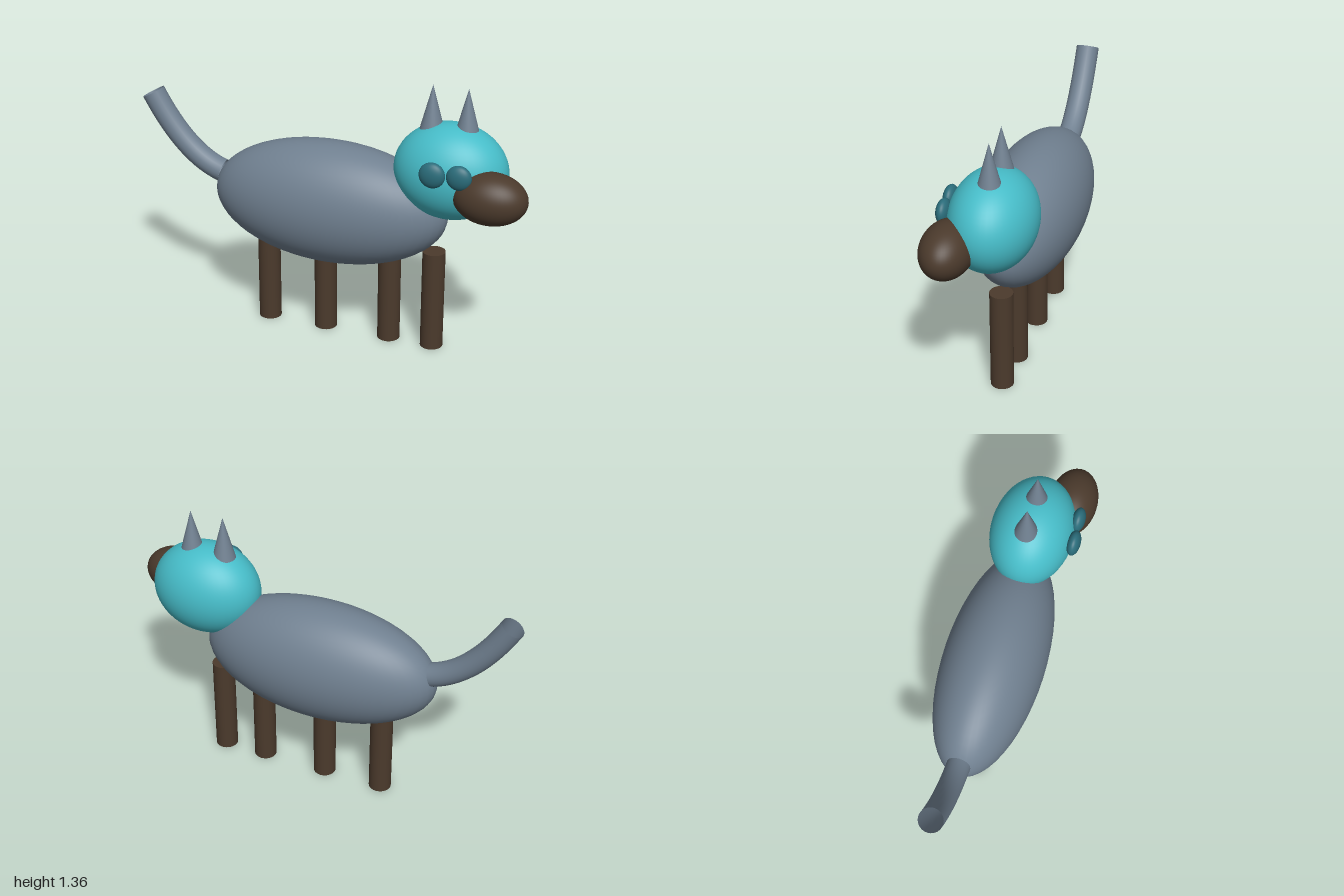
import * as THREE from 'three';

const material = (color, side = THREE.FrontSide) => {
  const m = new THREE.MeshStandardMaterial({ side });
  m.color.set(color);
  return m;
};

export function createModel() {
  const model = new THREE.Group();
  const Z = -0.006; // centre plane of body, legs and tail
  const fur = material(0x708090);
  const furOpen = material(0x708090, THREE.DoubleSide);
  const teal = material(0x46bcc8);
  const darkTeal = material(0x2a6c7a);
  const brown = material(0x4b3a2c);

  const add = (name, geometry, mat, x = 0, y = 0, z = 0) => {
    const mesh = new THREE.Mesh(geometry, mat);
    mesh.name = name;
    mesh.position.set(x, y, z);
    model.add(mesh);
    return mesh;
  };
  const ellipsoid = (name, mat, [x, y, z], [rx, ry, rz]) =>
    add(name, new THREE.SphereGeometry(1, 48, 32).scale(rx, ry, rz), mat, x, y, z);

  // Body, head and snout
  ellipsoid('body', fur, [-0.013, 0.693, Z], [0.597, 0.31, 0.25]);
  ellipsoid('head', teal, [0.595, 0.95, 0], [0.275, 0.235, 0.203]);
  ellipsoid('snout', brown, [0.823, 0.9, 0.137], [0.177, 0.125, 0.122]);

  // Flattened eyes on the front of the head
  ellipsoid('rightEye', darkTeal, [0.566, 1.006, 0.212], [0.062, 0.062, 0.033]);
  ellipsoid('leftEye', darkTeal, [0.69, 1.006, 0.2], [0.06, 0.06, 0.033]);

  // Pointed ears
  [['rightEar', 0.494], ['leftEar', 0.664]].forEach(([name, x]) =>
    add(name, new THREE.ConeGeometry(0.057, 0.215, 32), fur, x, 1.2525, Z));

  // Four legs in a row
  [-0.34, -0.035, 0.3, 0.524].forEach((x, i) =>
    add('leg' + (i + 1), new THREE.CylinderGeometry(0.056, 0.056, 0.515, 32), brown, x, 0.2575, Z));

  // Curved tail, open at the tip
  const tailPath = new THREE.QuadraticBezierCurve3(
    new THREE.Vector3(-0.582, 0.765, Z),
    new THREE.Vector3(-0.783, 0.825, Z),
    new THREE.Vector3(-0.952, 1.135, Z));
  add('tail', new THREE.TubeGeometry(tailPath, 16, 0.058, 24), furOpen);

  return model;
}
